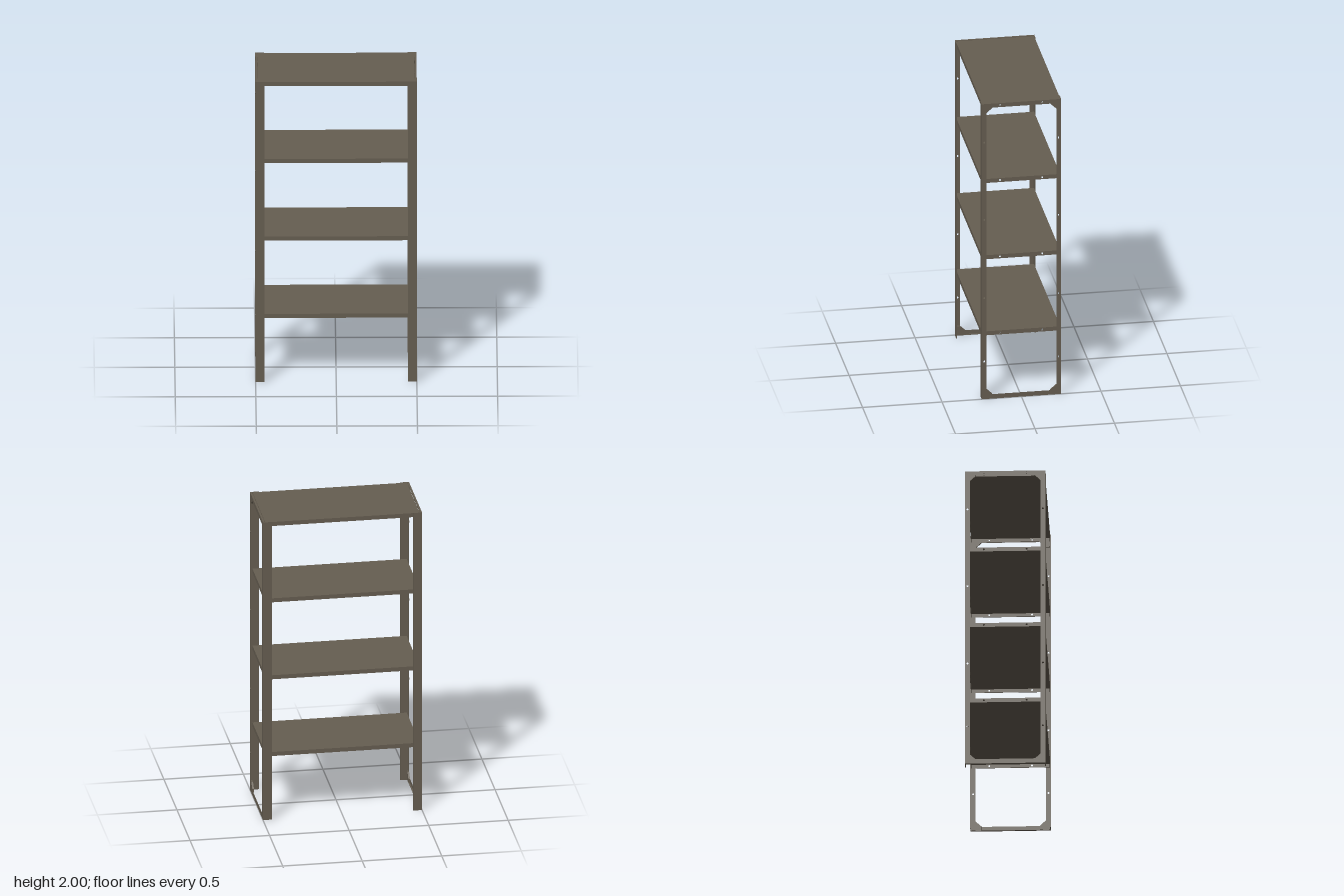
import * as THREE from 'three';

export function createModel() {
  const model = new THREE.Group();
  model.name = 'shelvingUnit';
  const steel = new THREE.MeshStandardMaterial({ color: 0x665e51 });
  steel.name = 'grey brown steel';

  const T = 0.004; // sheet thickness
  const shelfTops = [0.452, 0.968, 1.485, 1.998];
  const shelfX = 0.485, lip = 0.027;

  function add(parent, name, geometry) {
    const mesh = new THREE.Mesh(geometry, steel);
    mesh.name = name;
    parent.add(mesh);
    return mesh;
  }

  // Box given by its lower and upper limits
  function box(parent, name, x0, x1, y0, y1, z0, z1) {
    const mesh = add(parent, name, new THREE.BoxGeometry(x1 - x0, y1 - y0, z1 - z0));
    mesh.position.set((x0 + x1) / 2, (y0 + y1) / 2, (z0 + z1) / 2);
    return mesh;
  }

  // Upright plate in the z/y plane, its inner face at x
  function sidePlate(parent, name, outline, holes, x, depth) {
    const shape = new THREE.Shape(outline.map(([z, y]) => new THREE.Vector2(-z, y)));
    shape.holes = holes;
    const geometry = new THREE.ExtrudeGeometry(shape, { depth, bevelEnabled: false, curveSegments: 10 });
    geometry.rotateY(Math.PI / 2);
    const mesh = add(parent, name, geometry);
    mesh.position.x = x;
    return mesh;
  }

  const rect = (z, y0, y1) => [[-z, y0], [z, y0], [z, y1], [-z, y1]];
  const boltHole = (z, y) => new THREE.Path().absarc(-z, y, 0.006, 0, Math.PI * 2, true);

  // End frames: ring of angle steel with wide flanges on the front and back
  for (const side of [1, -1]) {
    const frame = new THREE.Group();
    frame.name = side > 0 ? 'leftEndFrame' : 'rightEndFrame';
    if (side < 0) frame.rotation.y = Math.PI;

    const holes = [new THREE.Path(rect(0.219, 0.03, 1.973).map(([z, y]) => new THREE.Vector2(-z, y)))];
    for (const z of [-1, 1]) {
      for (const y of [0.255, 0.685, 1.215, 1.74]) holes.push(boltHole(z * 0.234, y));
      holes.push(boltHole(z * 0.133, 1.986));
    }
    sidePlate(frame, 'endPlate', rect(0.246, 0, 2), holes, 0.5 - T, T);

    box(frame, 'topBarFlange', 0.488, 0.5 - T, 2 - T, 2, -0.246, 0.246);
    box(frame, 'bottomBarFlange', 0.488, 0.5 - T, 0, T, -0.246, 0.246);

    for (const z of [-1, 1]) {
      const z0 = z > 0 ? 0.246 : -0.25;
      box(frame, z > 0 ? 'frontPostFlange' : 'backPostFlange', 0.445, 0.5, 0, 2, z0, z0 + T);
      // Corner gussets
      for (const top of [false, true]) {
        const outline = [[0.245, 0.005], [0.183, 0.005], [0.183, 0.03], [0.219, 0.064], [0.245, 0.064]]
          .map(([a, b]) => [z * a, top ? 2 - b : b]);
        sidePlate(frame, 'cornerGusset', outline, [], 0.4855, 0.5 - T - 0.4855);
      }
    }
    model.add(frame);
  }

  // Shelves: thin trays with the edges folded down
  for (const top of shelfTops) {
    const shelf = new THREE.Group();
    shelf.name = 'shelf';
    const low = top - lip;
    box(shelf, 'shelfPanel', -shelfX, shelfX, top - T, top, -0.246, 0.246);
    box(shelf, 'frontLip', -shelfX, shelfX, low, top - T, 0.246 - T, 0.246);
    box(shelf, 'backLip', -shelfX, shelfX, low, top - T, -0.246, -0.246 + T);
    for (const x of [-shelfX, shelfX - T]) {
      const y = (low + top) / 2;
      sidePlate(shelf, 'endLip', rect(0.242, low, top - T), [boltHole(0.133, y), boltHole(-0.133, y)], x, T);
    }
    model.add(shelf);
  }

  return model;
}
